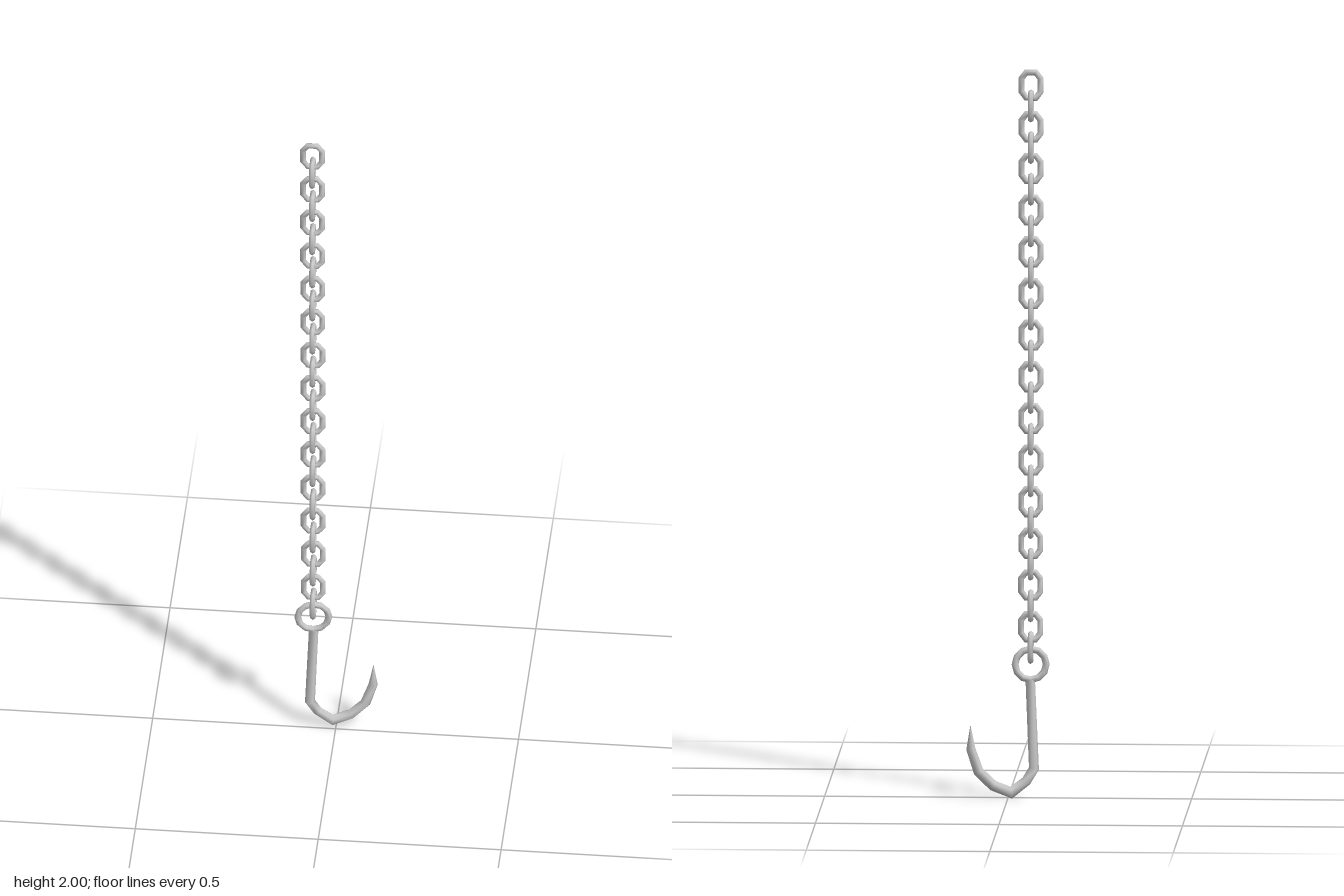
import * as THREE from 'three';

const material = new THREE.MeshStandardMaterial({ color: 0xcccccc });

// Sweeps a polygonal section along a path in the xy plane; each point is [x, y, radius].
function sweep(points, sides, closed) {
  const n = points.length;
  const positions = [], index = [];
  const at = (i) => {
    const [x, y] = points[closed ? (i + n) % n : Math.min(Math.max(i, 0), n - 1)];
    return new THREE.Vector2(x, y);
  };
  points.forEach(([x, y, radius], i) => {
    const before = at(i).sub(at(i - 1)).normalize();
    const after = at(i + 1).sub(at(i)).normalize();
    const t = before.clone().add(after).normalize();
    // widen the section at bends so the bar keeps its thickness
    const end = !closed && (i === 0 || i === n - 1);
    const miter = end ? 1 : 1 / Math.max(0.5, t.dot(after));
    for (let j = 0; j < sides; j++) {
      const a = (j / sides) * Math.PI * 2;
      const c = Math.cos(a) * radius * miter;
      positions.push(x + t.y * c, y - t.x * c, Math.sin(a) * radius);
    }
  });
  for (let i = 0; i < (closed ? n : n - 1); i++) {
    const k = (i + 1) % n;
    for (let j = 0; j < sides; j++) {
      const m = (j + 1) % sides;
      const a = i * sides + j, b = k * sides + j, c = k * sides + m, d = i * sides + m;
      index.push(a, b, d, b, c, d);
    }
  }
  const geometry = new THREE.BufferGeometry();
  geometry.setAttribute('position', new THREE.Float32BufferAttribute(positions, 3));
  geometry.setIndex(index);
  geometry.computeVertexNormals();
  return geometry;
}

function addMesh(parent, name, geometry) {
  const mesh = new THREE.Mesh(geometry, material);
  mesh.name = name;
  parent.add(mesh);
  return mesh;
}

export function createModel() {
  const model = new THREE.Group();
  model.name = 'chainWithHook';
  const axisX = -0.062;

  // Chain: eight-cornered links, alternately turned a quarter, leaning slightly in z
  const chain = new THREE.Group();
  chain.name = 'chain';
  model.add(chain);
  const w = 0.026, h = 0.035, r = 0.008;
  const linkPath = [
    [w, -0.018], [w, 0.018], [0.013, h], [-0.013, h],
    [-w, 0.018], [-w, -0.018], [-0.013, -h], [0.013, -h],
  ].map(([x, y]) => [x, y, r]);
  const linkGeometry = sweep(linkPath, 6, true);
  const count = 28;
  for (let i = 0; i < count; i++) {
    const t = i / (count - 1);
    const link = addMesh(chain, 'chainLink' + (i + 1), linkGeometry);
    link.position.set(
      axisX,
      THREE.MathUtils.lerp(1.957, 0.413, t),
      THREE.MathUtils.lerp(0.011, -0.011, t)
    );
    link.rotation.y = i % 2 ? Math.PI / 2 : 0;
  }

  // Hook and its eye share one plane, turned slightly about the chain's axis
  const hookGroup = new THREE.Group();
  hookGroup.name = 'hookAssembly';
  hookGroup.position.set(axisX, 0, -0.012);
  hookGroup.rotation.y = 0.11;
  model.add(hookGroup);

  // Eye ring
  const ring = addMesh(hookGroup, 'eyeRing', new THREE.TorusGeometry(0.0425, 0.0095, 6, 12));
  ring.position.y = 0.367;

  // Hook: straight shank, faceted bend and tapering point
  const hookPath = [
    [0.001, 0.325, 0], [0.001, 0.324, 0.013],
    [-0.009, 0.08, 0.0135], [0.012, 0.046, 0.0135], [0.053, 0.0145, 0.0145],
    [0.102, 0.034, 0.0145], [0.142, 0.073, 0.014], [0.163, 0.135, 0.0125],
    [0.164, 0.2, 0.0005],
  ];
  addMesh(hookGroup, 'hook', sweep(hookPath, 6, false));

  return model;
}
